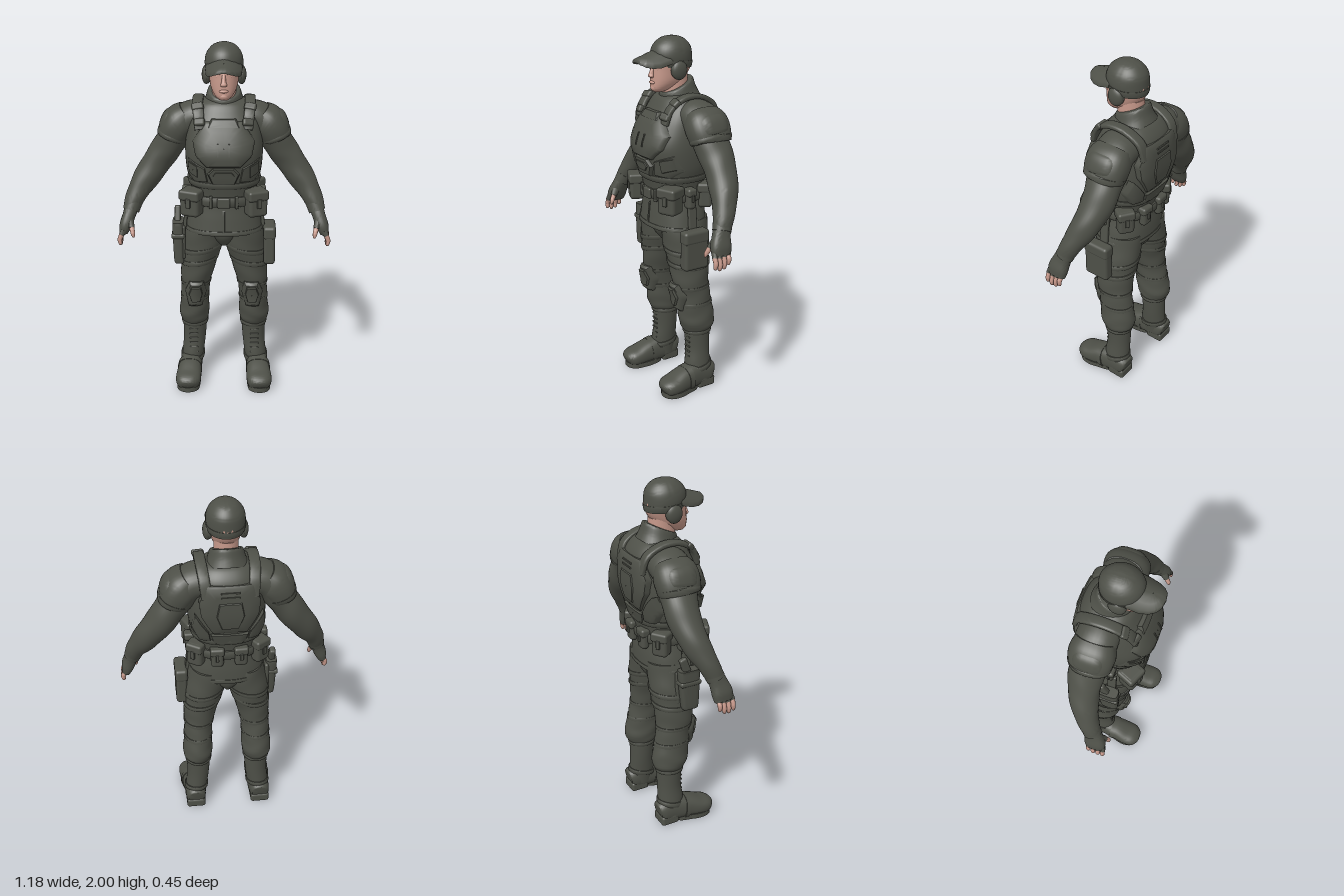
import * as THREE from 'three';
import { toCreasedNormals } from 'three/addons/utils/BufferGeometryUtils.js';
import { RoundedBoxGeometry } from 'three/addons/geometries/RoundedBoxGeometry.js';

const cloth = new THREE.MeshStandardMaterial({ color: 0x4e5048, side: THREE.DoubleSide });
cloth.name = 'olive cloth';
const skin = new THREE.MeshStandardMaterial({ color: 0xc6988a });
skin.name = 'skin';

function add(parent, name, geo, mat = cloth, pos = [0, 0, 0], rot = [0, 0, 0]) {
  const m = new THREE.Mesh(geo, mat);
  m.name = name;
  m.position.set(...pos);
  m.rotation.set(...rot);
  parent.add(m);
  return m;
}
const rbox = (w, h, d, r = 0.012) => new RoundedBoxGeometry(w, h, d, 3, Math.min(r, w / 2.1, h / 2.1, d / 2.1));
const spow = (v, p) => Math.sign(v) * Math.abs(v) ** p;

// smooth value of cross-section rows [x, y, z, ra, rb] at t (in row units)
function sample(rows, t) {
  const i = Math.min(Math.floor(t), rows.length - 2), f = t - i;
  const at = k => rows[Math.max(0, Math.min(rows.length - 1, k))];
  return rows[0].map((_, c) => {
    const [a, b, d, e] = [at(i - 1)[c], at(i)[c], at(i + 1)[c], at(i + 2)[c]];
    return b + 0.5 * f * (d - a + f * (2 * a - 5 * b + 4 * d - e + f * (3 * (b - d) + e - a)));
  });
}
// cross-section at a given height
function atHeight(rows, y) {
  let lo = 0, hi = rows.length - 1;
  const s = Math.sign(rows[hi][1] - rows[0][1]);
  for (let k = 0; k < 24; k++) {
    const m = (lo + hi) / 2;
    if ((sample(rows, m)[1] - y) * s < 0) lo = m; else hi = m;
  }
  return sample(rows, lo);
}
// closed skin through cross-sections; flat keeps every ring level
function loft(rows, { n = 32, seg = 6, e = 2, ref = [0, 0, 1], flat = true, tiltX = 0, tiltZ = 0, wrinkle = 0 } = {}) {
  const R = new THREE.Vector3(...ref), pos = [], idx = [], N = (rows.length - 1) * seg;
  for (let i = 0; i <= N; i++) {
    const [x, y, z, ra, rb] = sample(rows, i / seg);
    const p = sample(rows, Math.max(0, i - 1) / seg), q = sample(rows, Math.min(N, i + 1) / seg);
    const t = new THREE.Vector3(q[0] - p[0], q[1] - p[1], q[2] - p[2]);
    if (flat) t.set(0, t.y, 0);
    t.normalize();
    const u = new THREE.Vector3().crossVectors(t, R).normalize(), v = new THREE.Vector3().crossVectors(u, t);
    for (let j = 0; j < n; j++) {
      const a = j / n * Math.PI * 2, w = 1 + wrinkle * Math.sin(i / seg * 5 + 1.6 * Math.sin(2 * a));
      const P = new THREE.Vector3(x, y, z)
        .addScaledVector(u, ra * w * spow(Math.cos(a), 2 / e)).addScaledVector(v, rb * w * spow(Math.sin(a), 2 / e));
      P.y += tiltX * (P.x - x) + tiltZ * (P.z - z);
      pos.push(P.x, P.y, P.z);
    }
  }
  for (let i = 0; i < N; i++) for (let j = 0; j < n; j++) {
    const a = i * n + j, b = i * n + (j + 1) % n;
    idx.push(a, a + n, b, b, a + n, b + n);
  }
  const c0 = pos.length / 3, L = N * n;
  pos.push(...rows[0].slice(0, 3), ...rows[rows.length - 1].slice(0, 3));
  for (let j = 0; j < n; j++) { const k = (j + 1) % n; idx.push(c0, j, k, c0 + 1, L + k, L + j); }
  return finish(pos, idx);
}
function finish(pos, idx) {
  const g = new THREE.BufferGeometry();
  g.setAttribute('position', new THREE.Float32BufferAttribute(pos, 3));
  g.setIndex(idx);
  return toCreasedNormals(g, 0.75);
}
// raised plate with a bevelled rim sunk into a surface given by map(u, v, height)
function plate(outline, h, map, bevel = 0.92, sink = 0.035) {
  const pts = [], pos = [], idx = [];
  outline.forEach(([x, y], i) => {
    const [X, Y] = outline[(i + 1) % outline.length];
    for (let k = 0; k < 5; k++) pts.push([x + (X - x) * k / 5, y + (Y - y) * k / 5]);
  });
  if (THREE.ShapeUtils.area(pts.map(p => new THREE.Vector2(...p))) < 0) pts.reverse();
  const n = pts.length, cx = pts.reduce((s, p) => s + p[0], 0) / n, cy = pts.reduce((s, p) => s + p[1], 0) / n;
  const rings = [[0.01, h], [0.3, h], [0.6, h], [bevel, h], [1, h * 0.4], [1, -sink]];
  for (const [r, hh] of rings) for (const [x, y] of pts) pos.push(...map(cx + (x - cx) * r, cy + (y - cy) * r, hh));
  for (let i = 0; i < rings.length - 1; i++) for (let j = 0; j < n; j++) {
    const a = i * n + j, b = i * n + (j + 1) % n;
    idx.push(a, a + n, b, b, a + n, b + n);
  }
  return finish(pos, idx);
}
// maps onto the front or back of a lofted body
const onBody = (rows, e, side = 1) => (u, v, h) => {
  const [x, , z, ra, rb] = atHeight(rows, v), k = Math.min(0.98, Math.abs((u * side - x) / ra));
  return [u * side, v, z + side * (rb * (1 - k ** e) ** (1 / e) + h)];
};
// strap running round a lofted body
function band(rows, y, height, grow, opts) {
  return loft([-1, -0.8, 0.8, 1].map((k, i) => {
    const [x, , z, a, b] = atHeight(rows, y + k * height / 2), g = i % 3 ? grow : grow * 0.5;
    return [x, y + k * height / 2, z, a + g, b + g];
  }), { seg: 2, ...opts });
}
const mirrorX = o => o.map(([x, y]) => [-x, y]);

const TORSO = [[0, 0.965, 0.003, 0.215, 0.16], [0, 1.05, 0, 0.2, 0.155], [0, 1.15, 0, 0.178, 0.147], [0, 1.24, 0, 0.186, 0.163],
  [0, 1.32, 0, 0.205, 0.183], [0, 1.43, -0.002, 0.212, 0.202], [0, 1.54, -0.022, 0.203, 0.183], [0, 1.62, -0.038, 0.185, 0.155],
  [0, 1.675, -0.035, 0.145, 0.118], [0, 1.7, -0.03, 0.09, 0.075]];
const LEG = [[0.1, 1.02, -0.005, 0.105, 0.14], [0.116, 0.9, -0.01, 0.115, 0.135], [0.138, 0.78, -0.013, 0.105, 0.12], [0.157, 0.67, -0.015, 0.09, 0.108],
  [0.167, 0.57, -0.03, 0.081, 0.101], [0.172, 0.47, -0.043, 0.084, 0.107], [0.175, 0.4, -0.052, 0.086, 0.103], [0.172, 0.355, -0.052, 0.07, 0.078]];
const BOOT = [[0.172, 0.375, -0.052, 0.072, 0.078], [0.175, 0.25, -0.055, 0.065, 0.07], [0.185, 0.15, -0.05, 0.064, 0.076], [0.195, 0.05, -0.052, 0.062, 0.076]];
const ARM = [[0.08, 1.6, -0.05, 0.08, 0.105], [0.195, 1.575, -0.055, 0.092, 0.113], [0.28, 1.465, -0.06, 0.085, 0.102], [0.35, 1.36, -0.065, 0.081, 0.09],
  [0.43, 1.245, -0.04, 0.073, 0.075], [0.489, 1.15, 0, 0.056, 0.058], [0.518, 1.075, 0.03, 0.044, 0.048]];

function buildTorso(g) {
  add(g, 'jacket', loft(TORSO, { n: 48, e: 2.3 }));
  add(g, 'trouserSeat', loft([[0, 1, -0.005, 0.17, 0.14], [0, 0.93, -0.008, 0.1, 0.125], [0, 0.875, -0.01, 0.03, 0.085]]));
  const front = onBody(TORSO, 2.7), back = onBody(TORSO, 3.6, -1), coat = onBody(TORSO, 2.3);
  const panel = (name, o, h, map) => add(g, name, plate(o, h, map));
  panel('chestPlate', [[-0.1, 1.6], [0.1, 1.6], [0.165, 1.5], [0.15, 1.43], [0.09, 1.37], [-0.09, 1.37], [-0.15, 1.43], [-0.165, 1.5]], 0.015, front);
  panel('upperChestPanel', [[-0.065, 1.615], [0.065, 1.615], [0.085, 1.575], [-0.085, 1.575]], 0.02, front);
  panel('bellyPlate', [[-0.055, 1.365], [0.055, 1.365], [0.085, 1.33], [0.06, 1.27], [-0.06, 1.27], [-0.085, 1.33]], 0.016, front);
  panel('bellyBadge', [[-0.045, 1.345], [0.045, 1.345], [0.06, 1.325], [0.035, 1.295], [-0.035, 1.295], [-0.06, 1.325]], 0.022, front);
  panel('backPlate', [[-0.12, 1.62], [0.12, 1.62], [0.16, 1.52], [0.15, 1.44], [0.09, 1.33], [-0.09, 1.33], [-0.15, 1.44], [-0.16, 1.52]], 0.011, back);
  panel('backSpine', [[-0.06, 1.53], [0.06, 1.53], [0.075, 1.45], [0.045, 1.36], [-0.045, 1.36], [-0.075, 1.45]], 0.017, back);
  panel('lowerBackPanel', [[-0.1, 1.315], [0.1, 1.315], [0.08, 1.25], [-0.08, 1.25]], 0.01, back);
  for (const x of [-0.03, 0.03]) panel('chestRib', [[x - 0.004, 1.5], [x + 0.004, 1.5], [x + 0.004, 1.43], [x - 0.004, 1.43]], 0.02, front);
  for (const y of [1.565, 1.59]) panel('backRib', [[-0.05, y], [0.05, y], [0.05, y - 0.008], [-0.05, y - 0.008]], 0.016, back);
  panel('jacketPlacket', [[-0.006, 1.11], [0.006, 1.11], [0.006, 0.975], [-0.006, 0.975]], 0.004, coat);
  add(g, 'vestHem', band(TORSO, 1.255, 0.035, 0.01, { n: 48, e: 2.3 }));
  add(g, 'jacketHem', band(TORSO, 0.98, 0.022, 0.004, { n: 48, e: 2.3 }));
  add(g, 'belt', band(TORSO, 1.16, 0.055, 0.014, { n: 48, e: 2.3 }));
  add(g, 'beltBuckle', rbox(0.07, 0.06, 0.02), cloth, [0, 1.16, 0.165]);
  for (const x of [-0.07, 0.07]) add(g, 'beltLoop', rbox(0.018, 0.07, 0.02, 0.005), cloth, [x, 1.16, 0.155], [0, x * 3, 0]);
  add(g, 'collar', loft([[0, 1.645, -0.035, 0.125, 0.112], [0, 1.69, -0.027, 0.103, 0.1], [0, 1.737, -0.02, 0.088, 0.092], [0, 1.744, -0.02, 0.077, 0.08]], { tiltZ: -0.45 }));
  // bent side panels, shoulder straps and pouches, built for each side
  for (const s of [1, -1]) {
    const m = o => s > 0 ? o : mirrorX(o);
    panel('sidePanel', m([[0.1, 1.36], [0.19, 1.4], [0.2, 1.31], [0.16, 1.27], [0.085, 1.28]]), 0.012, coat);
    panel('sidePouch', m([[0.14, 1.37], [0.19, 1.385], [0.19, 1.32], [0.14, 1.3]]), 0.022, coat);
    panel('backSidePanel', m([[0.11, 1.33], [0.18, 1.43], [0.195, 1.34], [0.16, 1.27], [0.1, 1.27]]), 0.004, back);
    const strap = [[0.125, 1.56, 0.132], [0.135, 1.64, 0.1], [0.14, 1.69, 0.02], [0.138, 1.69, -0.08], [0.13, 1.64, -0.165], [0.12, 1.55, -0.192]];
    add(g, 'shoulderStrap', loft(strap.map(([x, y, z]) => [x * s, y, z, 0.014, 0.029]), { flat: false, ref: [1, 0, 0], e: 4, n: 20 }));
    add(g, 'strapBuckle', rbox(0.065, 0.045, 0.03), cloth, [0.14 * s, 1.67, 0.075], [-0.8, 0, -0.2 * s]);
    add(g, 'strapClip', rbox(0.06, 0.04, 0.03), cloth, [0.128 * s, 1.6, 0.13], [-0.45, 0.3 * s, 0]);
    const pouches = [[0.172, 0.125, 0.11, 0.15, 0.1, 0.4], [0.19, 0.015, 0.05, 0.12, 0.07, 1.57], [0.172, -0.1, 0.09, 0.14, 0.075, 2.55], [0.065, -0.155, 0.07, 0.12, 0.045, 3.1]];
    for (const [x, z, w, h, d, r] of pouches) {
      const p = new THREE.Group();
      p.name = 'beltPouch';
      p.position.set(x * s, 1.155, z);
      p.rotation.y = r * s;
      add(p, 'pouchBody', rbox(w, h, d, 0.02));
      add(p, 'pouchFlap', rbox(w + 0.008, h * 0.38, d + 0.012, 0.014), cloth, [0, h * 0.3, 0]);
      add(p, 'pouchTab', rbox(w * 0.25, h * 0.35, 0.014, 0.004), cloth, [0, 0.005, d / 2 + 0.003]);
      g.add(p);
    }
  }
}

function buildHead(g) {
  add(g, 'neck', loft([[0, 1.66, -0.008, 0.066, 0.078], [0, 1.8, -0.012, 0.064, 0.07]]), skin);
  const FACE = [[0, 1.713, 0.088, 0.026, 0.032], [0, 1.733, 0.068, 0.048, 0.065], [0, 1.77, 0.04, 0.069, 0.092], [0, 1.825, 0.018, 0.08, 0.111], [0, 1.88, 0.01, 0.087, 0.113], [0, 1.93, 0.005, 0.078, 0.095]];
  add(g, 'face', loft(FACE, { e: 2.2 }), skin);
  add(g, 'nose', loft([[0, 1.855, 0.118, 0.009, 0.01], [0, 1.815, 0.132, 0.012, 0.014], [0, 1.796, 0.136, 0.018, 0.015], [0, 1.787, 0.128, 0.01, 0.008]], { n: 14 }), skin);
  add(g, 'lips', new THREE.SphereGeometry(1, 16, 8).scale(0.025, 0.009, 0.011), skin, [0, 1.763, 0.13]);
  add(g, 'chin', new THREE.SphereGeometry(1, 16, 10).scale(0.027, 0.02, 0.02), skin, [0, 1.734, 0.116]);
  // cap crown, band and drooping peak
  const CAP = [[0, 1.84, 0.006, 0.095, 0.107], [0, 1.895, 0.012, 0.102, 0.115], [0, 1.945, 0.008, 0.092, 0.105], [0, 1.982, 0.004, 0.062, 0.071], [0, 1.997, 0.002, 0.028, 0.033], [0, 2, 0, 0.004, 0.004]];
  add(g, 'capCrown', loft(CAP, { n: 40, tiltZ: 0.06 }));
  add(g, 'capBand', band(CAP, 1.862, 0.03, 0.003, { tiltZ: 0.06 }));
  const peak = [];
  for (let i = 0; i <= 10; i++) {
    const a = i / 10 * Math.PI;
    peak.push([0.098 * spow(Math.cos(a), 0.8), -0.06 - 0.17 * Math.sin(a) ** 0.8]);
  }
  add(g, 'capPeak', plate(peak, 0.008, (u, v, h) => [u, 1.927 - 6.5 * u * u - 0.33 * (-v - 0.1) + h, -v], 0.92, 0.01));
  for (const s of [1, -1]) {
    add(g, 'brow', rbox(0.036, 0.011, 0.016, 0.005), skin, [0.034 * s, 1.853, 0.118], [0, 0.3 * s, 0]);
    add(g, 'eyelid', new THREE.SphereGeometry(0.011, 12, 8), skin, [0.034 * s, 1.836, 0.109]);
    add(g, 'earCup', new THREE.SphereGeometry(1, 24, 16).scale(0.024, 0.051, 0.046), cloth, [0.094 * s, 1.83, 0.018]);
    add(g, 'earCushion', new THREE.TorusGeometry(0.036, 0.012, 10, 28), cloth, [0.087 * s, 1.83, 0.018], [0, Math.PI / 2, 0]);
  }
}

function buildArm(g) {
  add(g, 'sleeve', loft(ARM, { flat: false, wrinkle: 0.018, seg: 8 }));
  add(g, 'cuff', loft([[0.502, 1.115, 0.015, 0.049, 0.052], [0.518, 1.07, 0.032, 0.046, 0.051]], { flat: false }));
  // domed shoulder guard with a raised outer plate and rim
  const PAD = [[0.195, 1.605, -0.055, 0.07, 0.1], [0.23, 1.572, -0.055, 0.09, 0.118], [0.258, 1.535, -0.055, 0.091, 0.122], [0.28, 1.492, -0.057, 0.086, 0.115], [0.287, 1.476, -0.058, 0.08, 0.106]];
  add(g, 'shoulderPad', loft(PAD, { flat: false, e: 2.4 }));
  add(g, 'shoulderPadPlate', loft([[0.232, 1.572, -0.055, 0.086, 0.085], [0.248, 1.552, -0.055, 0.098, 0.095], [0.268, 1.517, -0.056, 0.094, 0.095], [0.275, 1.502, -0.057, 0.086, 0.085]], { flat: false, e: 3 }));
  add(g, 'shoulderPadRim', loft([[0.277, 1.498, -0.057, 0.085, 0.115], [0.28, 1.491, -0.057, 0.089, 0.118], [0.285, 1.479, -0.058, 0.086, 0.114], [0.287, 1.473, -0.058, 0.082, 0.107]], { flat: false, e: 2.3, seg: 2 }));
  add(g, 'glove', loft([[0.513, 1.09, 0.025, 0.039, 0.044], [0.528, 1.045, 0.042, 0.036, 0.05], [0.546, 0.995, 0.055, 0.035, 0.058], [0.558, 0.955, 0.058, 0.025, 0.053]], { flat: false, e: 2.5 }));
  for (let i = 0; i < 4; i++) {
    const z = 0.1 - i * 0.027, d = [0.01, 0, 0.004, 0.022][i], zt = z + 0.006;
    add(g, 'gloveFinger', loft([[0.554, 0.975, z, 0.017, 0.016], [0.567, 0.946 + d / 2, zt, 0.0155, 0.0145]], { flat: false, n: 12 }));
    add(g, 'finger', loft([[0.564, 0.955, zt, 0.014, 0.013], [0.577, 0.914 + d, zt, 0.013, 0.0125], [0.574, 0.889 + d, zt + 0.002, 0.01, 0.01], [0.571, 0.882 + d, zt + 0.002, 0.003, 0.003]], { flat: false, n: 12 }), skin);
  }
  add(g, 'gloveThumb', loft([[0.524, 1.04, 0.065, 0.021, 0.026], [0.51, 0.99, 0.099, 0.017, 0.018]], { flat: false, n: 14 }));
  add(g, 'thumb', loft([[0.511, 0.995, 0.096, 0.014, 0.014], [0.502, 0.96, 0.115, 0.0125, 0.0125], [0.499, 0.94, 0.12, 0.005, 0.005]], { flat: false, n: 12 }), skin);
}

function buildLeg(g) {
  add(g, 'trouserLeg', loft(LEG, { wrinkle: 0.016, seg: 8 }));
  for (const y of [0.85, 0.775]) add(g, 'thighStrap', band(LEG, y, 0.028, 0.006, { tiltX: -0.15 }));
  const knee = onBody(LEG, 2);
  add(g, 'kneePad', plate([[0.115, 0.66], [0.195, 0.66], [0.222, 0.59], [0.2, 0.5], [0.125, 0.5], [0.1, 0.58]], 0.028, knee, 0.8));
  add(g, 'kneePadCap', plate([[0.128, 0.638], [0.185, 0.638], [0.203, 0.585], [0.185, 0.53], [0.133, 0.53], [0.118, 0.585]], 0.04, knee, 0.85));
  for (const y of [0.63, 0.53]) add(g, 'kneeStrap', band(LEG, y, 0.02, 0.003));
  add(g, 'bootShaft', loft(BOOT));
  for (const [y, h] of [[0.355, 0.025], [0.13, 0.03]]) add(g, 'bootStrap', band(BOOT, y, h, 0.007, { tiltZ: y < 0.2 ? -0.2 : 0 }));
  for (let y = 0.17; y < 0.33; y += 0.03) add(g, 'bootLace', rbox(0.05, 0.009, 0.01, 0.004), cloth, [0.178, y, 0.015]);
  add(g, 'bootFoot', loft([[0.195, 0.076, -0.132, 0.045, 0.05], [0.195, 0.08, -0.11, 0.058, 0.065], [0.196, 0.083, -0.03, 0.063, 0.075], [0.201, 0.076, 0.05, 0.068, 0.066], [0.206, 0.062, 0.12, 0.073, 0.053], [0.208, 0.055, 0.165, 0.069, 0.046], [0.208, 0.05, 0.19, 0.052, 0.036], [0.208, 0.046, 0.2, 0.03, 0.022]], { flat: false, ref: [0, 1, 0], e: 2.5 }));
  add(g, 'instepStrap', loft([[0.201, 0.078, 0.02, 0.07, 0.074], [0.202, 0.075, 0.05, 0.072, 0.069]], { flat: false, ref: [0, 1, 0], e: 2.5, seg: 2 }));
  // tread: forefoot sole, shank and heel block
  const sole = [[0.165, -0.02], [0.235, -0.02], [0.26, 0.05], [0.274, 0.115], [0.262, 0.17], [0.23, 0.194], [0.187, 0.194], [0.152, 0.17], [0.14, 0.115], [0.14, 0.05]];
  const curve = new THREE.Shape(new THREE.CatmullRomCurve3(sole.map(p => new THREE.Vector3(p[0], -p[1], 0)), true).getPoints(40).map(p => new THREE.Vector2(p.x, p.y)));
  add(g, 'bootSole', new THREE.ExtrudeGeometry(curve, { depth: 0.03, bevelEnabled: false }).rotateX(-Math.PI / 2));
  add(g, 'bootHeel', rbox(0.112, 0.06, 0.112, 0.016), cloth, [0.196, 0.03, -0.078]);
}

export function createModel() {
  const model = new THREE.Group();
  model.name = 'soldier';
  const group = (name, build, s = 1) => {
    const g = new THREE.Group();
    g.name = name;
    g.scale.x = s;
    build(g);
    model.add(g);
  };
  group('torso', buildTorso);
  group('head', buildHead);
  for (const [side, s] of [['left', 1], ['right', -1]]) {
    group(side + 'Arm', buildArm, s);
    group(side + 'Leg', buildLeg, s);
  }
  // thigh bag on the left, holster with sidearm grip on the right
  group('thighBag', g => {
    add(g, 'bagBody', rbox(0.064, 0.215, 0.152, 0.018), cloth, [0.254, 0.876, 0.022]);
    add(g, 'bagFlap', rbox(0.07, 0.075, 0.158, 0.018), cloth, [0.254, 0.955, 0.022]);
    add(g, 'bagHanger', rbox(0.02, 0.18, 0.05, 0.006), cloth, [0.212, 1.05, 0.01], [0, 0, 0.1]);
  });
  group('holster', g => {
    add(g, 'holsterBody', loft([[0.25, 0.765, 0.03, 0.024, 0.04], [0.253, 0.79, 0.03, 0.029, 0.05], [0.257, 0.99, 0.02, 0.032, 0.062], [0.257, 1.0, 0.02, 0.028, 0.055]], { e: 4 }));
    add(g, 'holsterPlate', rbox(0.025, 0.2, 0.12), cloth, [0.228, 0.89, 0.015]);
    add(g, 'holsterStrap', rbox(0.074, 0.03, 0.128), cloth, [0.256, 0.93, 0.022]);
    add(g, 'sidearmGrip', rbox(0.034, 0.1, 0.045), cloth, [0.26, 1.035, -0.005], [-0.35, 0, 0]);
    add(g, 'holsterHanger', rbox(0.02, 0.16, 0.05, 0.006), cloth, [0.212, 1.05, 0.03], [0, 0, 0.1]);
  }, -1);
  return model;
}
